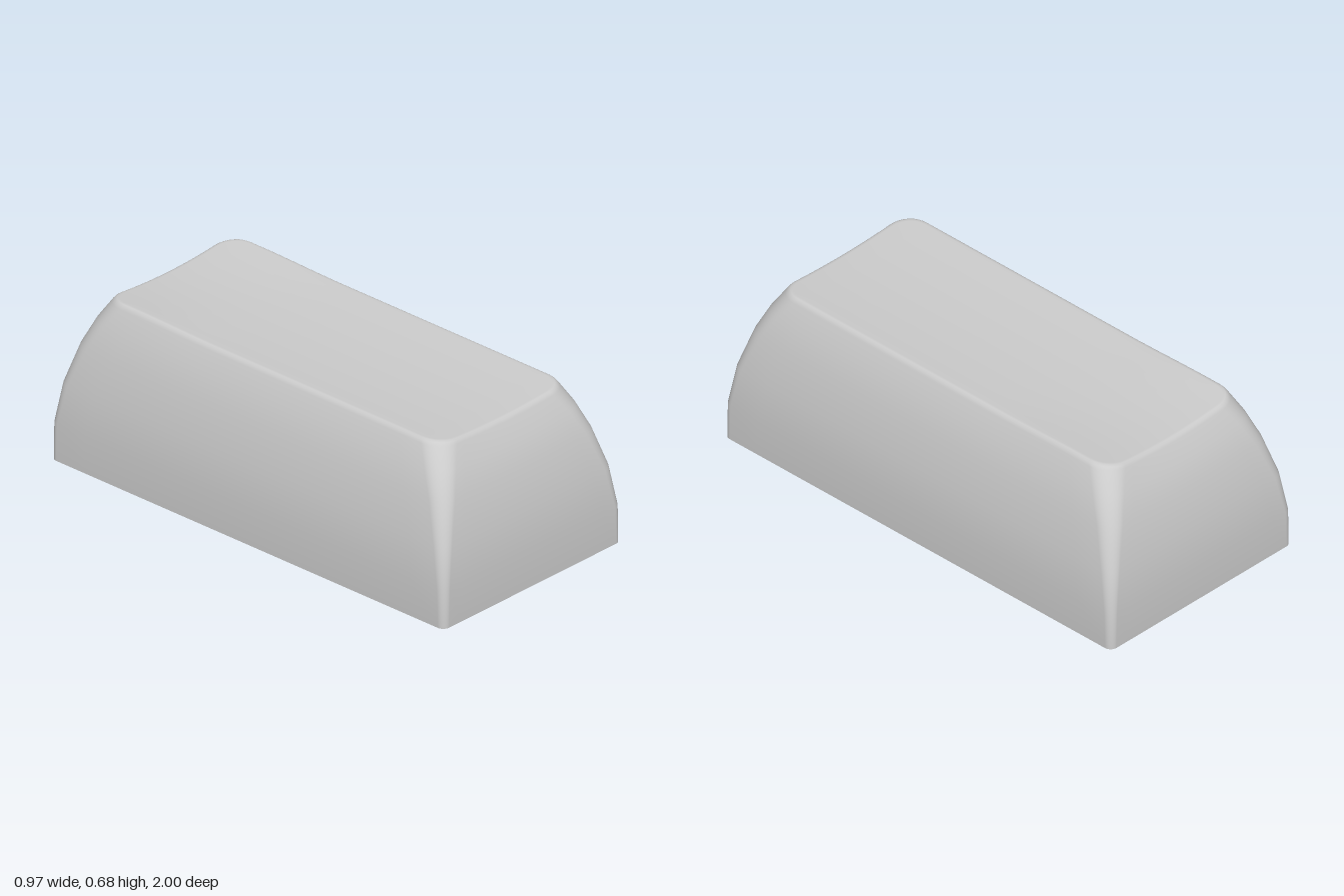
import * as THREE from 'three';

const CORNER = 8, EDGE = 14;

// Rounded rectangle outline, counter-clockwise, with subdivided straight edges
function outline(halfX, halfZ, radius) {
  const points = [];
  const signs = [[1, 1], [-1, 1], [-1, -1], [1, -1]];
  const onCorner = (q, a) => new THREE.Vector2(
    signs[q][0] * (halfX - radius) + radius * Math.cos(a),
    signs[q][1] * (halfZ - radius) + radius * Math.sin(a));
  for (let q = 0; q < 4; q++) {
    const start = q * Math.PI / 2;
    for (let i = 0; i <= CORNER; i++) points.push(onCorner(q, start + (i / CORNER) * Math.PI / 2));
    const from = points[points.length - 1];
    const to = onCorner((q + 1) % 4, start + Math.PI / 2);
    for (let i = 1; i < EDGE; i++) points.push(from.clone().lerp(to, i / EDGE));
  }
  return points;
}

// Trough-shaped top, rising slightly at the back corners
function dish(x, z) {
  const across = Math.min(1, (x / 0.335) ** 2);
  const back = THREE.MathUtils.smoothstep(-z, 0.3, 0.7);
  return 0.656 + across * (0.016 + 0.008 * back);
}

// Skin closed rings from bottom to top, finishing in a centre point
function skin(rings, centre) {
  const n = rings[0].length;
  const position = rings.flat().flatMap((p) => p.toArray());
  position.push(...centre.toArray());
  const index = [];
  for (let r = 0; r < rings.length; r++) {
    for (let j = 0; j < n; j++) {
      const a = r * n + j, b = r * n + (j + 1) % n;
      if (r === rings.length - 1) index.push(a, b, rings.length * n);
      else index.push(a, b, a + n, b, b + n, a + n);
    }
  }
  const geometry = new THREE.BufferGeometry();
  geometry.setAttribute('position', new THREE.Float32BufferAttribute(position, 3));
  geometry.setIndex(index);
  geometry.computeVertexNormals();
  return geometry;
}

export function createModel() {
  const group = new THREE.Group();
  const material = new THREE.MeshStandardMaterial({ color: 0xcccccc });

  // Curved walls: height, half width, half depth, corner radius
  const walls = [
    [0, 0.485, 1, 0.03],
    [0.155, 0.485, 1, 0.035],
    [0.32, 0.466, 0.98, 0.05],
    [0.48, 0.427, 0.94, 0.07],
    [0.58, 0.393, 0.9, 0.085],
    [0.655, 0.357, 0.861, 0.095],
    [0.666, 0.35, 0.854, 0.095],
    [0.671, 0.342, 0.846, 0.09],
  ];
  const rings = walls.map(([y, hx, hz, r]) => outline(hx, hz, r).map((p) => {
    const bend = (dish(p.x, -p.y) - 0.672) * (y / 0.672) ** 4;
    return new THREE.Vector3(p.x, y + bend, -p.y);
  }));

  // Dished top, shrinking inward from the rim
  const rim = outline(0.332, 0.836, 0.085);
  for (let s = 1; s > 0.05; s -= 0.1) {
    rings.push(rim.map((p) => new THREE.Vector3(p.x * s, dish(p.x * s, -p.y * s), -p.y * s)));
  }
  const shell = new THREE.Mesh(skin(rings, new THREE.Vector3(0, dish(0, 0), 0)), material);
  shell.name = 'keycapShell';
  group.add(shell);

  // Flat underside
  const base = new THREE.ShapeGeometry(new THREE.Shape(outline(0.485, 1, 0.03)));
  base.rotateX(Math.PI / 2);
  const underside = new THREE.Mesh(base, material);
  underside.name = 'underside';
  group.add(underside);

  return group;
}
